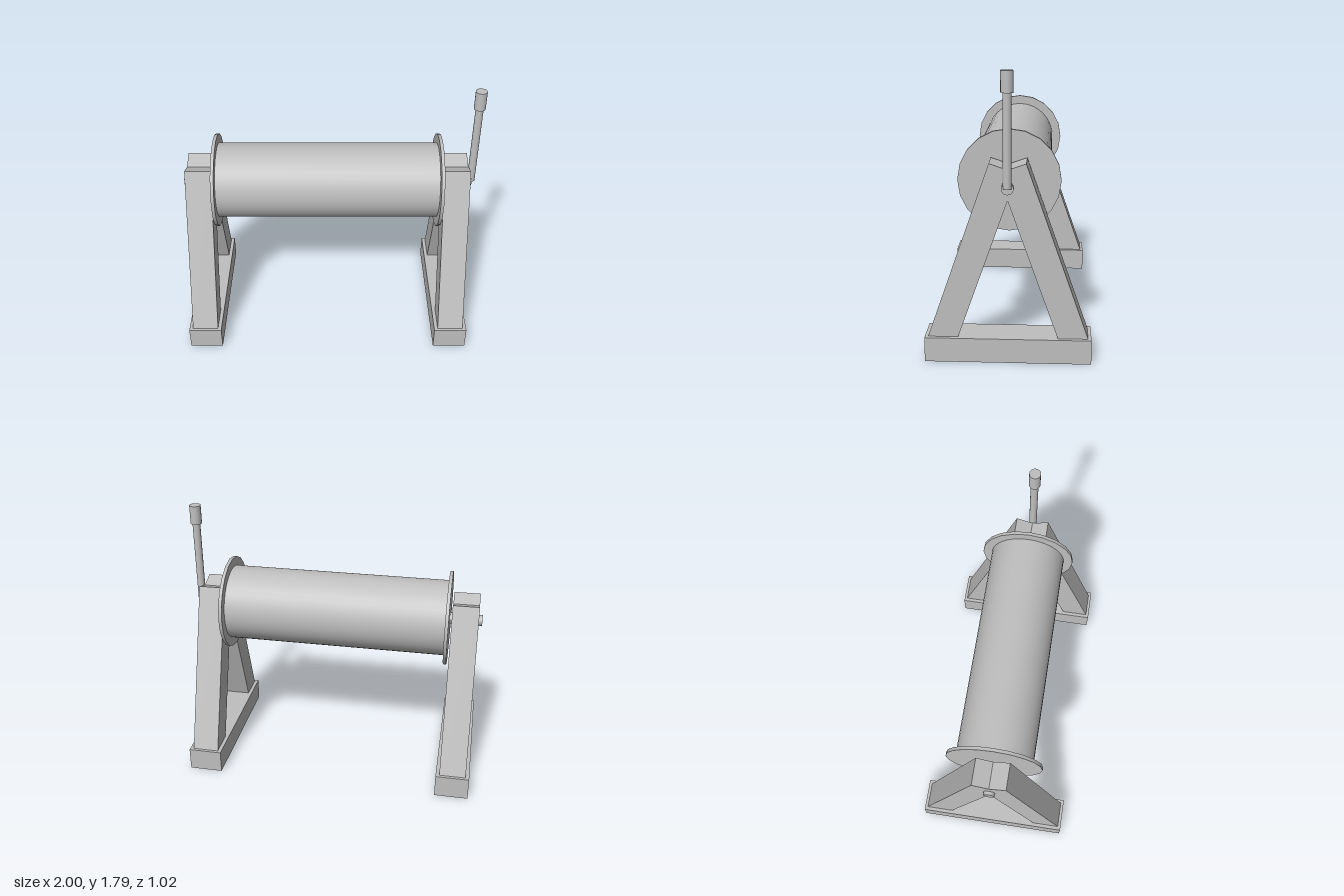
import * as THREE from 'three';

export function createModel() {
  const group = new THREE.Group();
  const grey = new THREE.MeshStandardMaterial({ color: 0xbfbfbf });
  grey.name = 'plain grey';

  const AXIS_Y = 1.098;

  function add(parent, name, geometry) {
    const mesh = new THREE.Mesh(geometry, grey);
    mesh.name = name;
    parent.add(mesh);
    return mesh;
  }

  // Cylinder lying along x between two positions on the winding axis
  function roller(name, radius, x0, x1, sides) {
    const g = new THREE.CylinderGeometry(radius, radius, x1 - x0, sides);
    g.rotateZ(Math.PI / 2);
    add(group, name, g).position.set((x0 + x1) / 2, AXIS_Y, 0);
  }

  // Upright cylinder of the crank
  function post(name, radius, x, y0, y1) {
    const g = new THREE.CylinderGeometry(radius, radius, y1 - y0, 20);
    add(group, name, g).position.set(x, (y0 + y1) / 2, 0);
  }

  // Side profile of the two leaning legs, meeting in a notch at the top
  const profile = new THREE.Shape([
    [0.49, 0.155], [0.11, 1.243], [0, 1.205], [-0.11, 1.243],
    [-0.49, 0.155], [-0.305, 0.155], [0, 1.02], [0.305, 0.155],
  ].map(([z, y]) => new THREE.Vector2(z, y)));

  // A-frame trestles at both ends
  for (const [name, x] of [['rightTrestle', -0.888], ['leftTrestle', 0.843]]) {
    const trestle = new THREE.Group();
    trestle.name = name;
    trestle.position.x = x;
    add(trestle, 'base', new THREE.BoxGeometry(0.225, 0.155, 1.02)).position.y = 0.0775;
    const legs = new THREE.ExtrudeGeometry(profile, { depth: 0.176, bevelEnabled: false });
    legs.translate(0, 0, -0.088);
    legs.rotateY(Math.PI / 2);
    add(trestle, 'legs', legs);
    group.add(trestle);
  }

  // Drum with end flanges on the axle
  roller('axle', 0.037, -1, 0.958, 20);
  roller('drum', 0.254, -0.77, 0.725, 40);
  roller('rightFlange', 0.317, -0.785, -0.763, 20);
  roller('leftFlange', 0.317, 0.718, 0.74, 20);

  // Crank arm and grip
  post('crankArm', 0.026, 0.957, 1.1, 1.665);
  post('crankGrip', 0.038, 0.957, 1.66, 1.786);

  return group;
}
